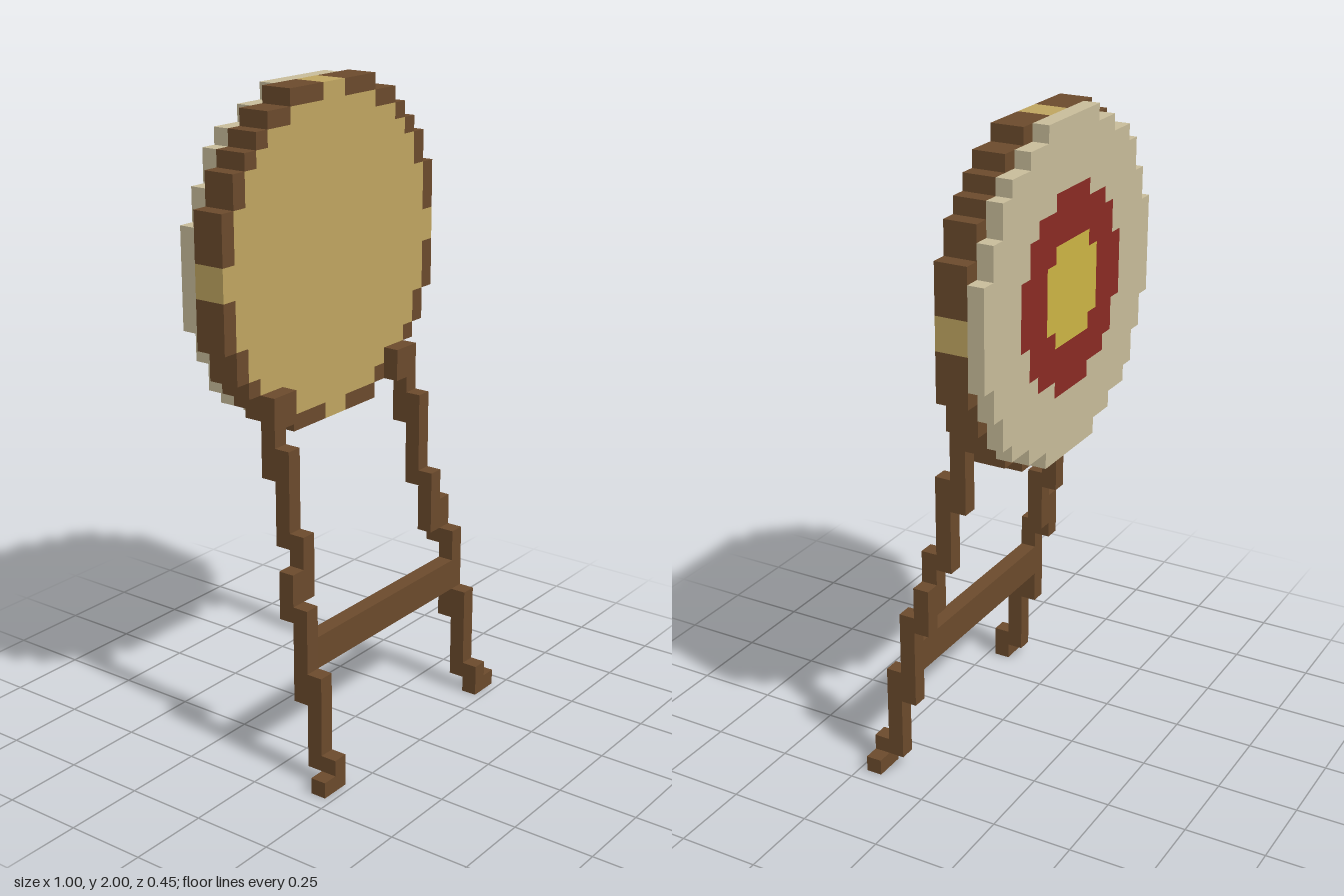
import * as THREE from 'three';

const U = 0.05; // edge of one block

const mat = (name, color) => {
  const m = new THREE.MeshStandardMaterial({ color });
  m.name = name;
  return m;
};

// Number of blocks right of centre that lie inside a circle, at row height y
function halfWidth(radius, y) {
  let n = 0;
  while ((n + 0.5) ** 2 + y * y < radius * radius) n++;
  return n;
}

// Stepped circle outline, in model units
function blockCircle(radius, PathType) {
  const right = [];
  for (let row = 10; row >= -11; row--) {
    const w = halfWidth(radius, row + 0.5);
    if (w === 0) continue;
    const last = right[right.length - 1];
    if (last && last[0] === w) last[1] = row;
    else right.push([w, row + 1], [w, row]);
  }
  const left = right.map(([x, y]) => [-x, y]).reverse();
  return new PathType([...right, ...left].map(([x, y]) => new THREE.Vector2(x * U, y * U)));
}

export function createModel() {
  const wood = mat('brown wood', 0x6b4a2c);
  const straw = mat('straw', 0xbfa560);
  const cream = mat('cream', 0xc8bc9a);
  const red = mat('red', 0x8a2b23);
  const yellow = mat('yellow', 0xccb545);

  const model = new THREE.Group();
  model.name = 'archeryTarget';

  function box(parent, name, material, x0, x1, y0, y1, z0, z1) {
    const mesh = new THREE.Mesh(new THREE.BoxGeometry(x1 - x0, y1 - y0, z1 - z0), material);
    mesh.position.set((x0 + x1) / 2, (y0 + y1) / 2, (z0 + z1) / 2);
    mesh.name = name;
    parent.add(mesh);
  }

  // Round boss
  const disc = new THREE.Group();
  disc.name = 'targetDisc';
  disc.position.y = 1.5;
  model.add(disc);

  function layer(name, material, radius, holeRadius, z0, depth) {
    const shape = blockCircle(radius, THREE.Shape);
    if (holeRadius) shape.holes.push(blockCircle(holeRadius, THREE.Path));
    const geometry = new THREE.ExtrudeGeometry(shape, { depth, bevelEnabled: false });
    const mesh = new THREE.Mesh(geometry, material);
    mesh.position.z = z0;
    mesh.name = name;
    disc.add(mesh);
  }
  const core = 9.55;
  layer('strawCore', straw, core, 0, -0.175, 0.1);
  layer('creamRing', cream, 10, 6, -0.225, 0.05);
  layer('redRing', red, 6, 3, -0.225, 0.05);
  layer('bullseye', yellow, 3, 0, -0.225, 0.05);

  // Wooden rim: the blocks between the straw core and the outer circle
  const rim = new THREE.Group();
  rim.name = 'rim';
  disc.add(rim);
  for (let row = -10; row < 10; row++) {
    const a = halfWidth(core, row + 0.5) * U;
    const b = halfWidth(10.2, row + 0.5) * U;
    if (b - a < 0.01) continue;
    box(rim, 'rimBlock', wood, a, b, row * U, (row + 1) * U, -0.175, -0.075);
    box(rim, 'rimBlock', wood, -b, -a, row * U, (row + 1) * U, -0.175, -0.075);
  }

  // Legs step forward towards the floor: [x0, x1, y0, y1, z centre]
  const legSteps = [
    [0.35, 0.45, 0, 0.05, 0.2],
    [0.35, 0.4, 0.05, 0.1, 0.2],
    [0.35, 0.4, 0.05, 0.35, 0.15],
    [0.35, 0.4, 0.25, 0.55, 0.1],
    [0.35, 0.4, 0.5, 0.65, 0.05],
    [0.3, 0.35, 0.55, 0.75, 0.05],
    [0.3, 0.35, 0.7, 1.0, 0],
    [0.3, 0.35, 0.9, 1.15, -0.05],
    [0.25, 0.3, 1.05, 1.15, -0.05],
  ];
  for (const side of [1, -1]) {
    const leg = new THREE.Group();
    leg.name = side > 0 ? 'leftLeg' : 'rightLeg';
    model.add(leg);
    for (const [x0, x1, y0, y1, z] of legSteps) {
      const xs = side > 0 ? [x0, x1] : [-x1, -x0];
      box(leg, 'legStep', wood, ...xs, y0, y1, z - U / 2, z + U / 2);
    }
  }

  // Bar between the legs
  box(model, 'crossbar', wood, -0.35, 0.35, 0.35, 0.45, 0.075, 0.125);

  return model;
}
